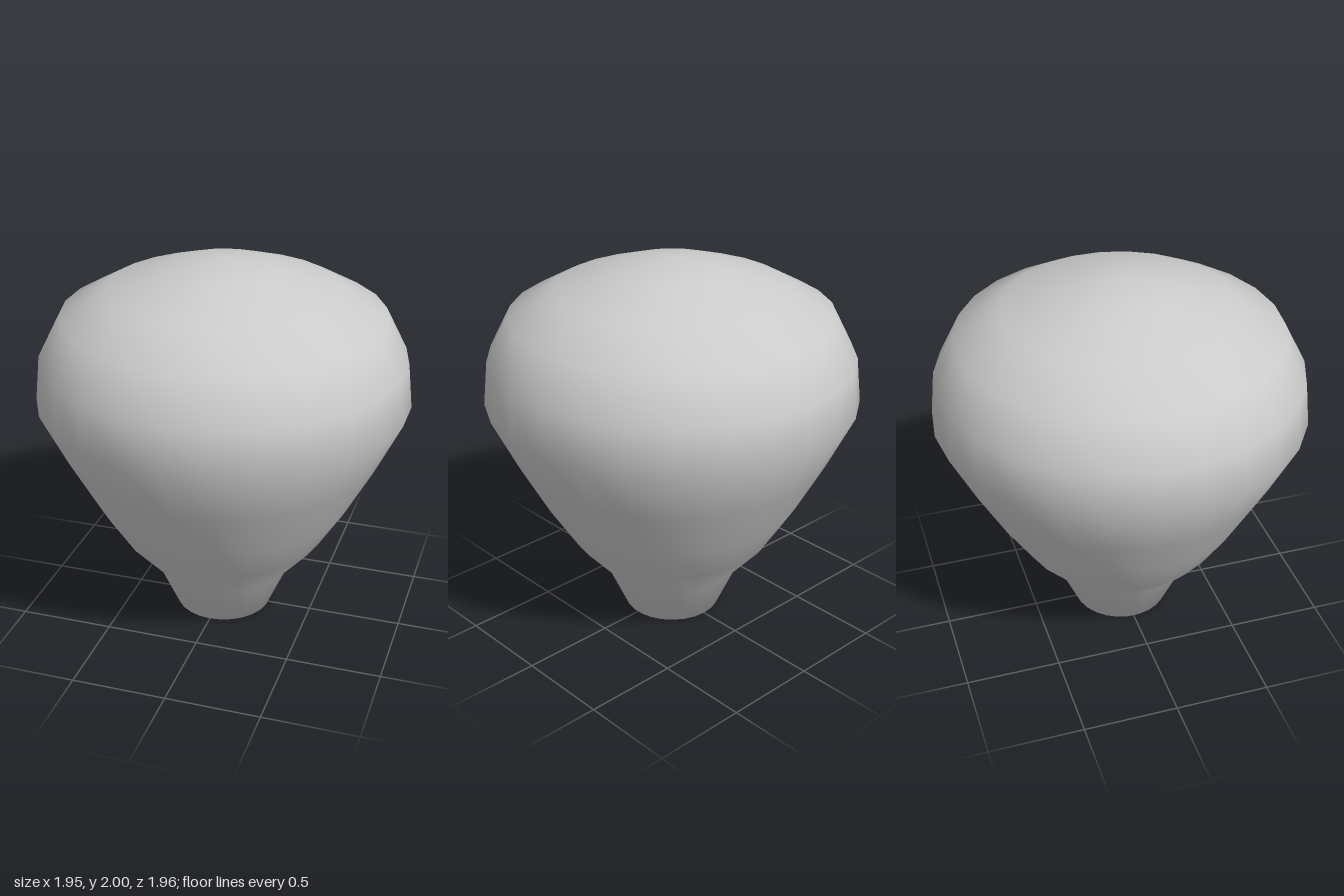
import * as THREE from 'three';
import { mergeVertices } from 'three/addons/utils/BufferGeometryUtils.js';

const SIDES = 26;

// Outline from the centre of the base up to the crown: [radius, height]
const PROFILE = [
  [0, 0], [0.26, 0], [0.37, 0.25], [0.55, 0.455], [0.69, 0.68], [0.84, 0.96],
  [0.98, 1.25], [0.955, 1.485], [0.84, 1.71], [0.605, 1.84], [0.3, 1.945], [0, 2],
];

export function createModel() {
  const group = new THREE.Group();
  group.name = 'balloonModel';

  // Closed envelope, welded so shading runs smoothly over seam, base and crown
  const lathe = new THREE.LatheGeometry(PROFILE.map(([r, y]) => new THREE.Vector2(r, y)), SIDES);
  lathe.deleteAttribute('uv');
  lathe.deleteAttribute('normal');
  const geometry = mergeVertices(lathe, 1e-4);
  geometry.computeVertexNormals();

  const envelope = new THREE.Mesh(geometry, new THREE.MeshStandardMaterial({ color: 0xcccccc }));
  envelope.name = 'envelope';
  group.add(envelope);
  return group;
}
